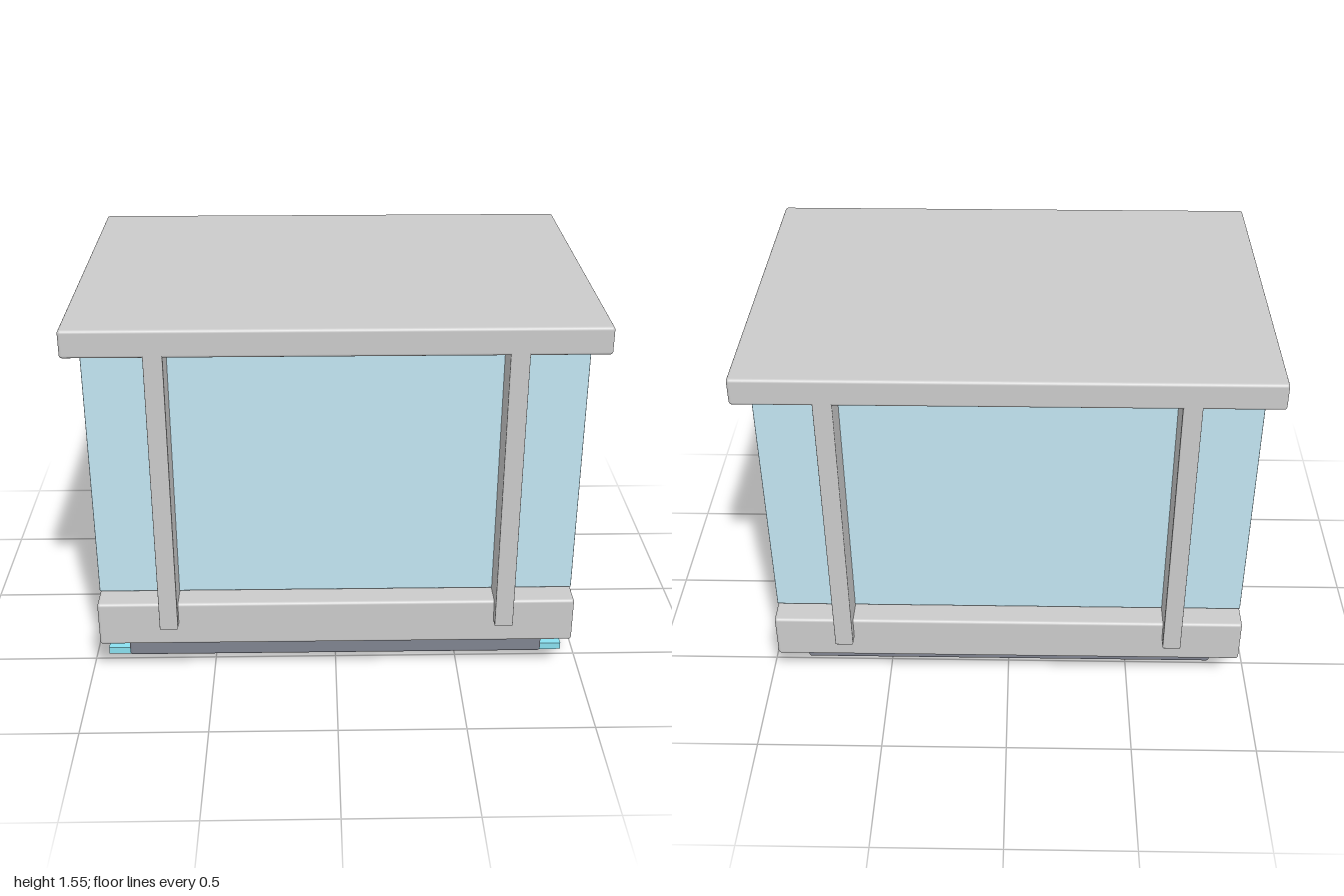
import * as THREE from 'three';
import { RoundedBoxGeometry } from 'three/addons/geometries/RoundedBoxGeometry.js';

const paint = (color) => new THREE.MeshStandardMaterial({ color });

export function createModel() {
  const model = new THREE.Group();
  const grey = paint(0xcccccc);
  const dark = paint(0x808490);
  const glass = paint(0xc3e6f3);
  const cyan = paint(0x8ae0f0);

  // Block centred on z = 0, spanning y0..y1; a radius above 0 softens its edges
  function block(name, width, y0, y1, depth, radius, material, x = 0) {
    const height = y1 - y0;
    const geometry = radius > 0
      ? new RoundedBoxGeometry(width, height, depth, 3, radius)
      : new THREE.BoxGeometry(width, height, depth);
    const mesh = new THREE.Mesh(geometry, material);
    mesh.name = name;
    mesh.position.set(x, (y0 + y1) / 2, 0);
    model.add(mesh);
  }

  // Foot and base, stacked from the ground up
  block('floorPlate', 1.9, 0, 0.03, 0.934, 0, cyan);
  block('plinth', 1.71, 0.03, 0.178, 1.05, 0.012, dark);
  block('base', 1.9, 0.18, 0.368, 1.33, 0.012, grey);

  // Glazed body, with narrow gaps below and above it
  block('glassBody', 1.9, 0.373, 1.415, 1.144, 0.003, glass);

  // Upright ribs running right through the body, from base to roof
  for (const side of [-1, 1]) {
    const name = side > 0 ? 'leftRib' : 'rightRib';
    block(name, 0.072, 0.278, 1.5, 1.424, 0.005, grey, side * 0.665);
  }

  // Overhanging roof slab
  block('roof', 2, 1.44, 1.548, 1.424, 0.012, grey);

  return model;
}
